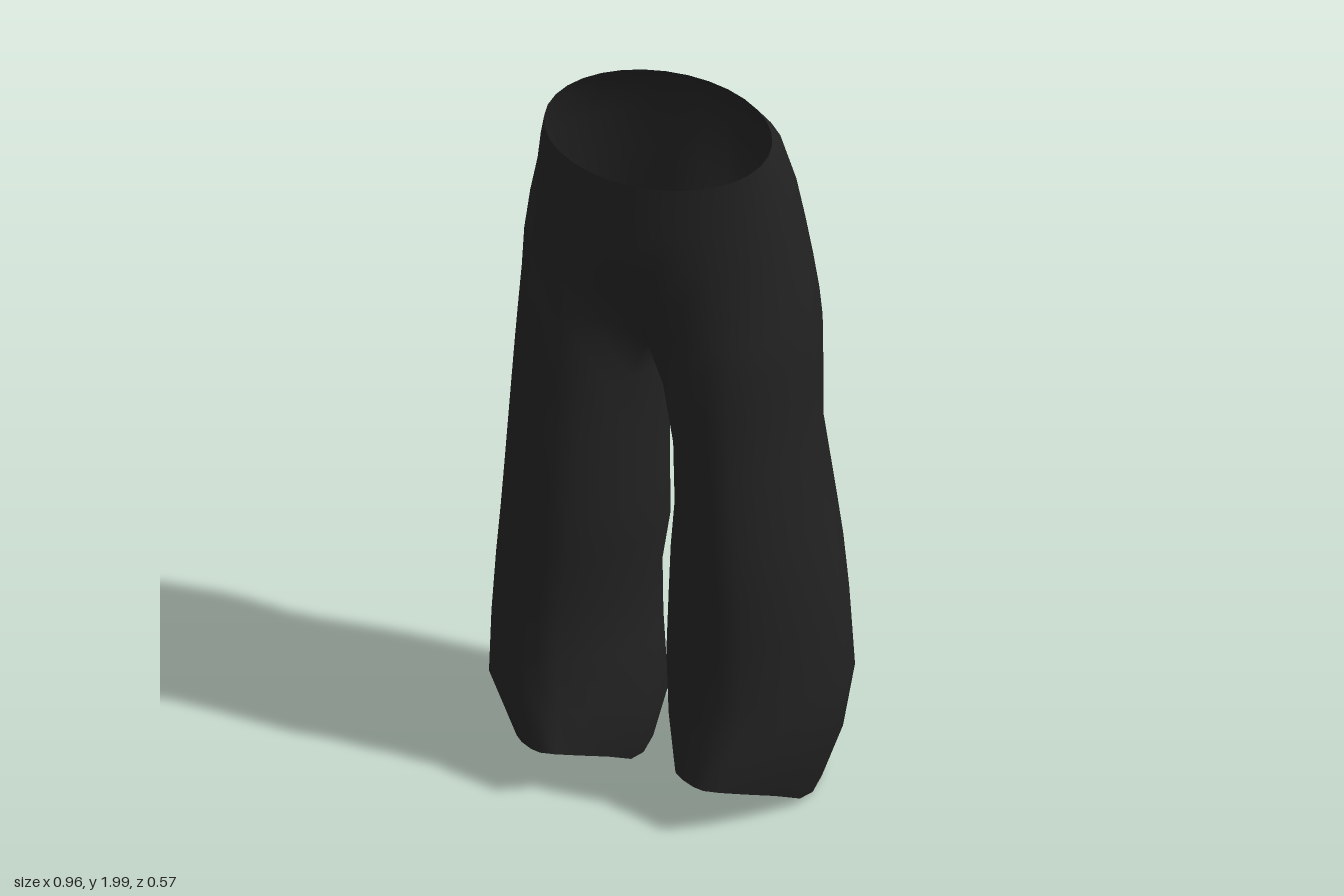
import * as THREE from 'three';
import { mergeVertices } from 'three/addons/utils/BufferGeometryUtils.js';

const SIDES = 20, SEAM = 16; // points 0..SEAM run front seam > outside > back seam

// y, left outer/inner x, right outer/inner x, front z, back z
const ROWS = [
  [1.968, 0.30, 0, 0.30, 0, 0.25, -0.14],
  [1.89, 0.32, 0, 0.32, 0, 0.25, -0.205],
  [1.79, 0.34, 0, 0.336, 0, 0.25, -0.245],
  [1.68, 0.36, 0, 0.358, 0, 0.248, -0.252],
  [1.56, 0.378, 0, 0.375, 0, 0.243, -0.256],
  [1.45, 0.393, 0, 0.38, 0, 0.237, -0.256],
  [1.36, 0.40, 0, 0.387, 0, 0.234, -0.256],
  [1.24, 0.402, 0.002, 0.398, 0.002, 0.234, -0.255],
  [1.07, 0.405, 0.032, 0.41, 0.01, 0.236, -0.24],
  [0.84, 0.436, 0.033, 0.43, 0.015, 0.246, -0.262],
  [0.70, 0.455, 0.016, 0.446, 0.017, 0.236, -0.272],
  [0.55, 0.472, 0.008, 0.46, 0.04, 0.238, -0.275],
  [0.36, 0.482, -0.004, 0.478, 0.04, 0.23, -0.282],
  [0.19, 0.462, 0.015, 0.474, 0.012, 0.26, -0.248],
  [0.02, 0.40, 0.036, 0.392, 0.06, 0.285, -0.272],
];
const CROTCH = 6; // first row whose rings are closed
const HEM = ROWS.length - 1;

const { lerp, clamp, smoothstep } = THREE.MathUtils;
const power = (v, e) => Math.sign(v) * Math.abs(v) ** e;

// One point of a cross-section: a half pelvis blended into a full leg
function point(row, j, side) {
  const [y, outL, inL, outR, inR, zf, zb] = ROWS[row];
  const outer = side > 0 ? outL : outR, inner = side > 0 ? inL : inR;
  const cz = (zf + zb) / 2, rz = (zf - zb) / 2;
  const a = (SEAM / 2 - j) / SIDES * Math.PI * 2;
  const s = Math.sin(a), c = Math.cos(a);
  // legs taper to a soft ridge at the front towards the hem
  const e = s > 0 ? lerp(1.4, 1.05, clamp(y / 1.4, 0, 1)) : 1.03;
  let x = (outer + inner) / 2 + (outer - inner) / 2 * power(c, e);
  let z = cz + rz * power(s, e);
  let h = y;
  if (row <= CROTCH) {
    if (j > SEAM) { // bridge between the legs
      x = 0;
    } else {
      // the cleft starts higher at the back than at the front
      const start = s > 0 ? 1.62 : 1.8;
      const t = clamp((start - y) / (start - ROWS[CROTCH][0]), 0, 1);
      const p = (0.5 - j / SEAM) * Math.PI;
      x = j % SEAM === 0 ? 0 : lerp(outer * Math.cos(p), x, t);
      z = lerp(cz + rz * Math.sin(p), z, t);
    }
    // waist dips towards the front
    h -= 0.23 * smoothstep(y, 1.65, 1.968) * z;
  } else {
    // hem arches up at the front and falls slightly at the back
    const lift = 0.13 * clamp((0.42 - y) / 0.4, 0, 1);
    h += lift * (Math.max(0, (s - 0.25) / 0.75) - 0.1 * Math.max(0, -s));
  }
  return [side * x, h, z];
}

function buildGeometry(positions, index) {
  const geometry = new THREE.BufferGeometry();
  geometry.setAttribute('position', new THREE.Float32BufferAttribute(positions, 3));
  geometry.setIndex(index);
  const welded = mergeVertices(geometry, 1e-4); // joins the centre seam
  welded.computeVertexNormals();
  return welded;
}

// Both halves lofted downwards from the waist
function trousersGeometry() {
  const positions = [], index = [];
  for (const side of [1, -1]) {
    const base = positions.length / 3;
    for (let i = 0; i <= HEM; i++) {
      for (let j = 0; j < SIDES; j++) positions.push(...point(i, j, side));
    }
    for (let i = 0; i < HEM; i++) {
      const count = i < CROTCH ? SEAM : SIDES;
      for (let j = 0; j < count; j++) {
        const a = base + i * SIDES + j, b = base + i * SIDES + (j + 1) % SIDES;
        const c = a + SIDES, d = b + SIDES;
        if (side > 0) index.push(a, c, b, b, c, d);
        else index.push(a, b, c, b, d, c);
      }
    }
  }
  return buildGeometry(positions, index);
}

// Closing face of a leg, in strips running from its outside to its inside
function hemGeometry(side) {
  const positions = [], index = [];
  for (let j = 0; j < SIDES; j++) positions.push(...point(HEM, j, side));
  for (let k = 0; k < SIDES / 2; k++) {
    const at = n => (SEAM / 2 + n + SIDES) % SIDES;
    const a = at(-k), b = at(-k - 1), c = at(k), d = at(k + 1);
    if (side > 0) index.push(a, c, b, b, c, d);
    else index.push(a, b, c, b, d, c);
  }
  return buildGeometry(positions, index);
}

export function createModel() {
  const group = new THREE.Group();
  group.name = 'trousers';
  const cloth = new THREE.MeshStandardMaterial({ color: 0x222222, side: THREE.DoubleSide });
  cloth.name = 'black cloth';
  const add = (geometry, name) => {
    const mesh = new THREE.Mesh(geometry, cloth);
    mesh.name = name;
    group.add(mesh);
  };
  add(trousersGeometry(), 'wideLegTrousers');
  add(hemGeometry(1), 'leftHem');
  add(hemGeometry(-1), 'rightHem');
  return group;
}
